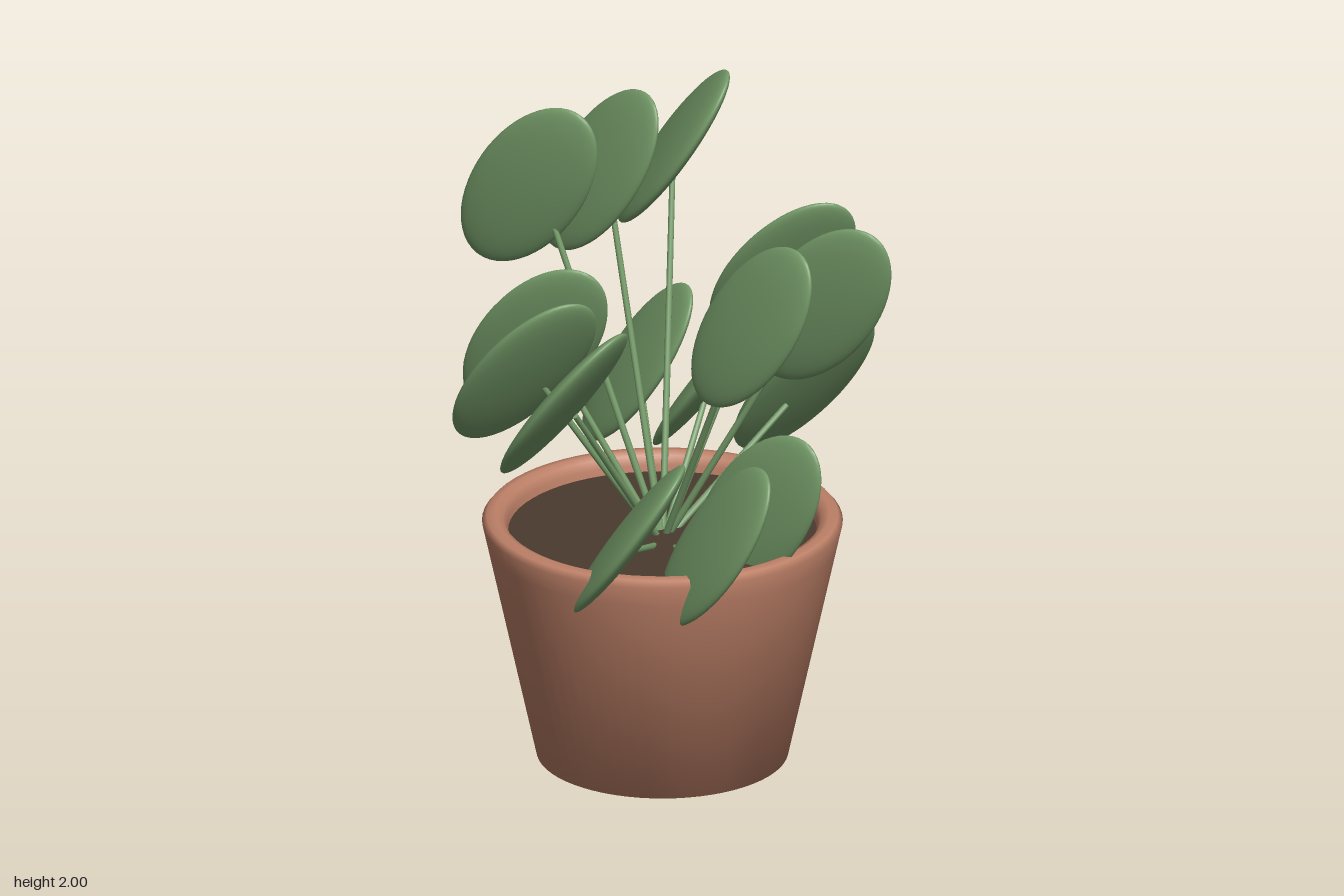
import * as THREE from 'three';

const material = (name, color) => {
  const m = new THREE.MeshStandardMaterial({ color });
  m.name = name;
  return m;
};

// Leaf centres [x, z], three on each height level
const LEVELS = [
  { y: 1.715, spots: [[-0.455, 0.06], [-0.365, -0.16], [-0.31, -0.437]] },
  { y: 1.49, spots: [[0.4, 0.08], [0.45, -0.185], [0.2, -0.313]] },
  { y: 1.28, spots: [[0.02, 0.487], [-0.345, 0.168], [-0.227, 0.365]] },
  { y: 1.065, spots: [[-0.34, -0.305], [-0.11, -0.375], [0.137, -0.492]] },
  { y: 0.85, spots: [[0.17, 0.375], [0.405, 0.258], [0.345, -0.015]] },
];
const CENTRE = new THREE.Vector3(-0.025, 0, -0.03);
const TILT = -0.66; // all blades lean the same way
const UP = new THREE.Vector3(0, 1, 0);

export function createModel() {
  const model = new THREE.Group();
  model.name = 'pottedPlant';
  const terracotta = material('terracotta', 0xbd8067);
  const earth = material('earth', 0x4a3a2e);
  const green = material('leafGreen', 0x759b69);

  // Tapered pot with a rounded lip
  const profile = [
    [0, 0], [0.37, 0], [0.516, 0.67], [0.53, 0.733], [0.516, 0.75],
    [0.49, 0.755], [0.468, 0.745], [0.455, 0.72], [0.45, 0.66],
  ].map(([r, y]) => new THREE.Vector2(r, y));
  const pot = new THREE.Mesh(new THREE.LatheGeometry(profile, 64), terracotta);
  pot.name = 'pot';
  pot.position.copy(CENTRE);
  model.add(pot);

  // Soil surface
  const soil = new THREE.Mesh(new THREE.CircleGeometry(0.455, 64), earth);
  soil.name = 'soil';
  soil.rotation.x = -Math.PI / 2;
  soil.position.set(CENTRE.x, 0.7, CENTRE.z);
  model.add(soil);

  // Leaves: flattened ellipsoids in radial planes, each on a straight stem
  const leafGeometry = new THREE.SphereGeometry(1, 40, 28);
  const root = new THREE.Vector3(CENTRE.x, 0.655, CENTRE.z);
  for (const { y, spots } of LEVELS) {
    for (const [x, z] of spots) {
      const angle = Math.atan2(z - CENTRE.z, x - CENTRE.x);

      const leaf = new THREE.Mesh(leafGeometry, green);
      leaf.name = 'leaf';
      leaf.scale.set(0.166, 0.333, 0.039);
      leaf.position.set(x, y, z);
      leaf.rotation.set(0, -angle, TILT, 'ZYX');
      model.add(leaf);

      // The stem ends a little below and inside the leaf centre
      const tip = new THREE.Vector3(x - 0.06 * Math.cos(angle), y - 0.06, z - 0.06 * Math.sin(angle));
      const along = tip.clone().sub(root);
      const stem = new THREE.Mesh(new THREE.CylinderGeometry(0.009, 0.011, along.length(), 10), green);
      stem.name = 'stem';
      stem.position.copy(root).addScaledVector(along, 0.5);
      stem.quaternion.setFromUnitVectors(UP, along.normalize());
      model.add(stem);
    }
  }
  return model;
}
